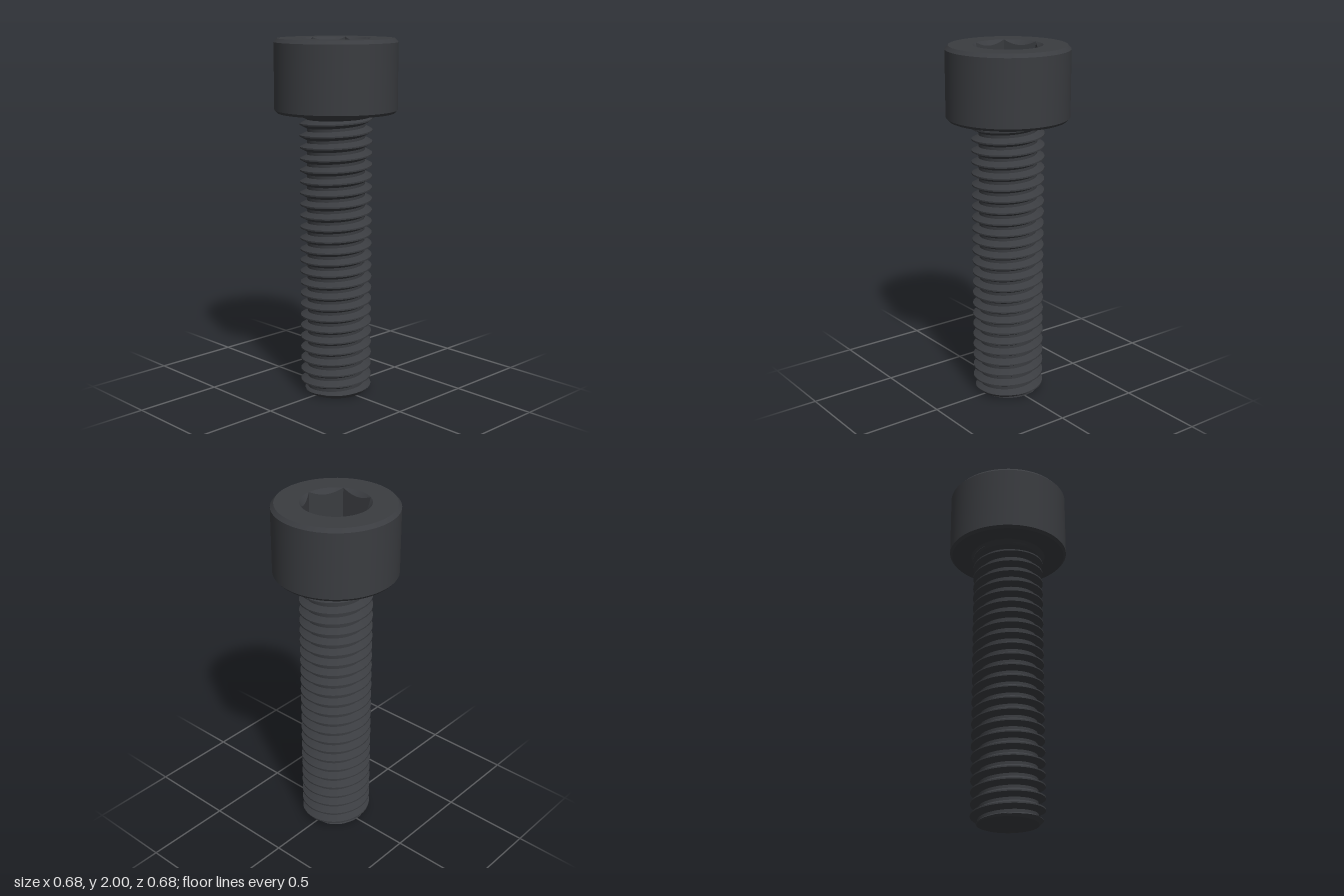
import * as THREE from 'three';
import { toCreasedNormals } from 'three/addons/utils/BufferGeometryUtils.js';

const SEGMENTS = 72;
const clamp = THREE.MathUtils.clamp;

// Surface from stacked rings; ring(j, angle) returns [radius, height]
function loft(ringCount, ring) {
  const positions = [], indices = [], cols = SEGMENTS + 1;
  for (let j = 0; j < ringCount; j++) {
    for (let i = 0; i < cols; i++) {
      const a = (i / SEGMENTS) * Math.PI * 2;
      const [r, y] = ring(j, a);
      positions.push(r * Math.cos(a), y, -r * Math.sin(a));
    }
  }
  for (let j = 0; j < ringCount - 1; j++) {
    for (let i = 0; i < SEGMENTS; i++) {
      const p = j * cols + i, q = p + cols;
      indices.push(p, p + 1, q + 1, p, q + 1, q);
    }
  }
  const geometry = new THREE.BufferGeometry();
  geometry.setAttribute('position', new THREE.Float32BufferAttribute(positions, 3));
  geometry.setIndex(indices);
  return toCreasedNormals(geometry, 0.5);
}

// Round head with chamfered rims and a countersunk hexagonal socket
function headGeometry() {
  const flat = 0.163, corner = flat / Math.cos(Math.PI / 6), floor = 1.8;
  const hexRadius = (a) => flat / Math.cos((a % (Math.PI / 3)) - Math.PI / 6);
  const rings = [
    () => [0.15, 1.6],
    () => [0.325, 1.6],
    () => [0.338, 1.615],
    () => [0.338, 1.98],
    () => [0.32, 2],
    () => [corner, 2],
    (a) => [hexRadius(a), 2 - (corner - hexRadius(a))],
    (a) => [hexRadius(a), floor],
    () => [0, floor],
  ];
  return loft(rings.length, (j, a) => rings[j](a));
}

// Shank with a right-handed 60 degree thread and a chamfered tip
function threadGeometry() {
  const major = 0.2, depth = 0.039, pitch = 0.064, crestStart = 0.022;
  const top = 1.59, rowsPerPitch = 16;
  const rows = Math.ceil(top / pitch + 2) * rowsPerPitch;
  return loft(rows + 1, (j, a) => {
    if (j === 0) return [0, 0];
    const turn = a / (Math.PI * 2);
    const y = clamp(crestStart + pitch * (j / rowsPerPitch - 2 + turn), 0, top);
    const phase = (y - crestStart) / pitch - turn;
    const fromCrest = Math.abs(phase - Math.round(phase));
    const r = major - depth * clamp((fromCrest - 1 / 16) / (5 / 16), 0, 1);
    return [Math.min(r, 0.165 + y), y];
  });
}

// Fillet joining the shank to the underside of the head
function filletGeometry() {
  const profile = [[0.16, 1.562], [0.188, 1.575], [0.198, 1.585], [0.204, 1.594], [0.215, 1.601]];
  return loft(profile.length, (j) => profile[j]);
}

export function createModel() {
  const group = new THREE.Group();
  group.name = 'socketHeadScrew';
  const material = new THREE.MeshStandardMaterial({ color: 0x3a3c40 });
  const parts = {
    head: headGeometry(),
    threadedShank: threadGeometry(),
    headFillet: filletGeometry(),
  };
  for (const [name, geometry] of Object.entries(parts)) {
    const mesh = new THREE.Mesh(geometry, material);
    mesh.name = name;
    group.add(mesh);
  }
  return group;
}
